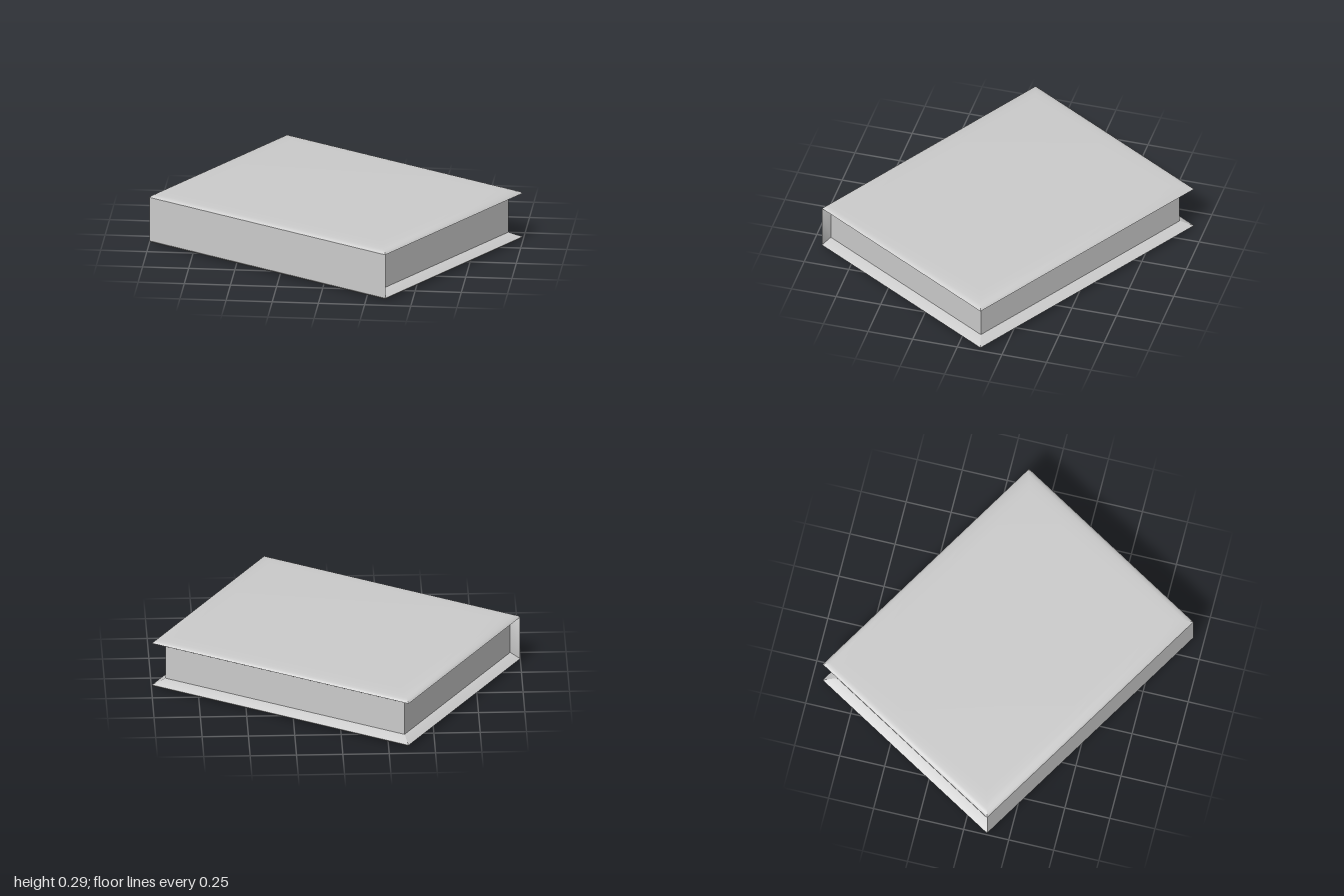
import * as THREE from 'three';
import { toCreasedNormals } from 'three/addons/utils/BufferGeometryUtils.js';

const U = 0.79, V = 0.624, H = 0.288;   // half length, half depth, thickness
const INSET = 0.055, BOARD = 0.012;     // page inset, spine board thickness
const RIM = 0.268, PAGE_TOP = 0.238;    // heights of cover rim and page block

// Joins four-cornered rings (counter-clockwise seen from the last one) and caps both ends.
function loft(rings) {
  const index = [0, 2, 1, 0, 3, 2];
  for (let r = 0; r < rings.length - 1; r++) {
    for (let i = 0; i < 4; i++) {
      const j = (i + 1) % 4, a = r * 4, b = a + 4;
      index.push(a + i, a + j, b + j, a + i, b + j, b + i);
    }
  }
  const t = (rings.length - 1) * 4;
  index.push(t, t + 1, t + 2, t, t + 2, t + 3);
  const geometry = new THREE.BufferGeometry();
  geometry.setAttribute('position', new THREE.Float32BufferAttribute(rings.flat(2), 3));
  geometry.setIndex(index);
  return toCreasedNormals(geometry, 0.6);
}

// Horizontal ring, inset from the cover outline by side/back and front amounts.
const level = (y, inset, front = inset) => [
  [-U + inset, y, V - front], [U - inset, y, V - front],
  [U - inset, y, -V + inset], [-U + inset, y, -V + inset],
];

// Upright ring for the spine board.
const upright = (z, u, y0, y1) => [[-u, y0, z], [u, y0, z], [u, y1, z], [-u, y1, z]];

export function createModel() {
  const model = new THREE.Group();
  model.name = 'book';
  const book = new THREE.Group();
  book.name = 'turnedBook';
  book.rotation.y = -0.54;
  model.add(book);

  const material = new THREE.MeshStandardMaterial({ color: 0xcccccc });
  const add = (name, geometry) => {
    const mesh = new THREE.Mesh(geometry, material);
    mesh.name = name;
    book.add(mesh);
    return mesh;
  };

  // Covers: bevelled underside, sharp rim, softly domed face
  const cover = [
    [PAGE_TOP, INSET, BOARD], [RIM, 0], [0.278, 0.01],
    [0.283, 0.03], [0.2865, 0.06], [H, 0.11],
  ];
  add('frontCover', loft(cover.map(([y, s, f]) => level(y, s, f))));
  add('backCover', loft(cover.map(([y, s, f]) => level(H - y, s, f)).reverse()));

  // Spine: flat board whose edges mitre into the covers
  add('spine', loft([
    upright(V - BOARD, U - INSET, H - PAGE_TOP, PAGE_TOP),
    upright(V, U, H - RIM, RIM),
  ]));

  // Page block
  const depth = 2 * V - INSET - BOARD;
  const pages = add('pages', new THREE.BoxGeometry(2 * (U - INSET), 2 * PAGE_TOP - H, depth));
  pages.position.set(0, H / 2, (INSET - BOARD) / 2);

  return model;
}
